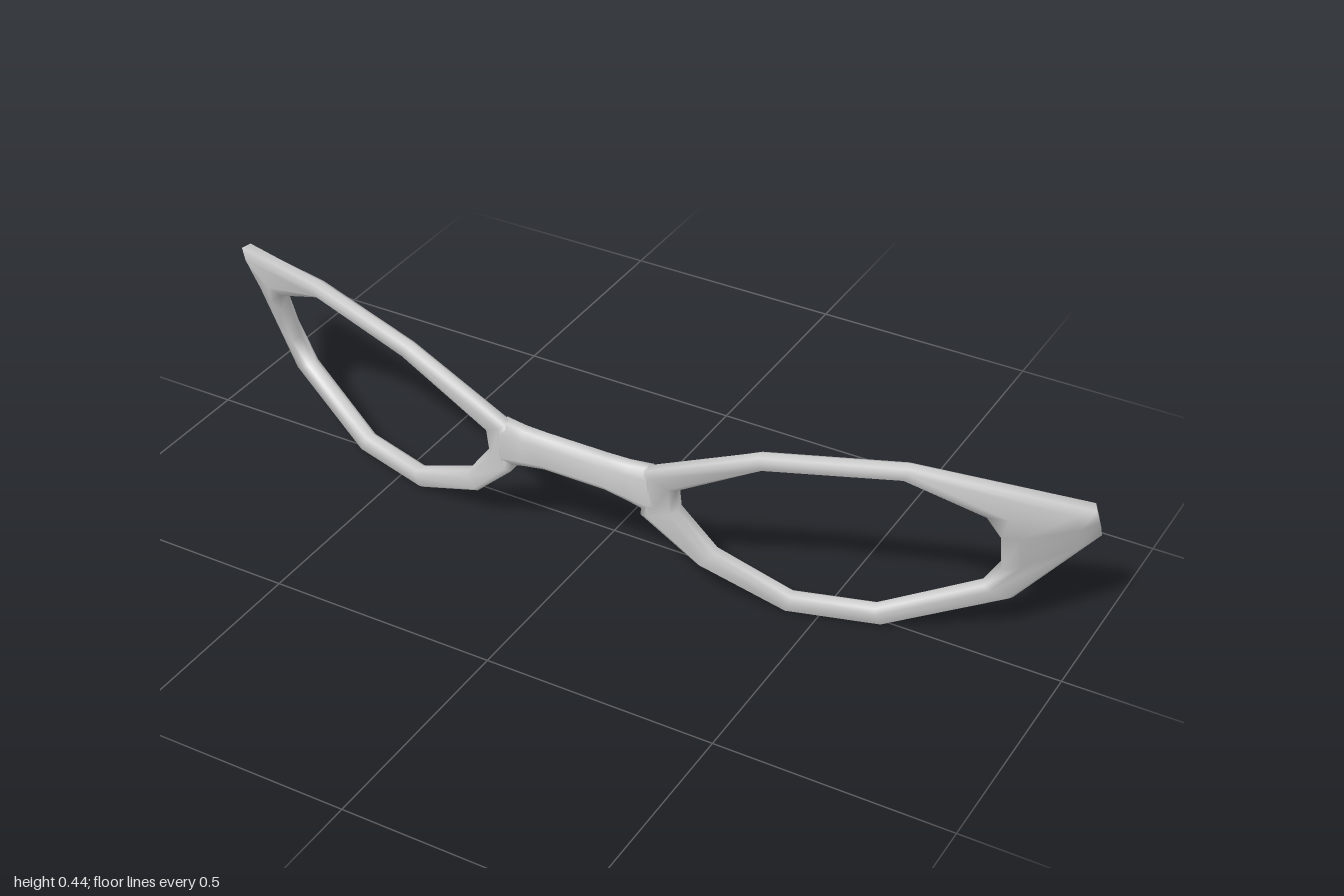
import * as THREE from 'three';

const material = new THREE.MeshStandardMaterial({ color: 0xcccccc });

// Bevelled cross-section: [across the rim, towards the front]
const PROFILE = [
  [1, -0.5], [1, 0.5], [0.6, 1], [-0.6, 1],
  [-1, 0.5], [-1, -0.5], [-0.6, -1], [0.6, -1],
];

// Section spanning from the outer to the inner point, with half thickness t
function section(outer, inner, t, mirror) {
  const a = new THREE.Vector3(...outer), b = new THREE.Vector3(...inner);
  const mid = a.clone().add(b).multiplyScalar(0.5);
  const half = a.clone().sub(b).multiplyScalar(0.5);
  const normal = new THREE.Vector3(0.55 * mid.x, -0.2, 1).normalize();
  return PROFILE.map(([u, n]) => {
    const p = mid.clone().addScaledVector(half, u).addScaledVector(normal, n * t);
    if (mirror) p.x = -p.x;
    return p;
  });
}

// Skin a row of sections, joining the last to the first when closed
function loft(name, sections, closed) {
  const n = PROFILE.length, count = sections.length, index = [];
  for (let i = 0; i < (closed ? count : count - 1); i++) {
    for (let j = 0; j < n; j++) {
      const k = (i + 1) % count, m = (j + 1) % n;
      const a = i * n + j, b = i * n + m, c = k * n + m, d = k * n + j;
      index.push(a, b, c, a, c, d);
    }
  }
  const geometry = new THREE.BufferGeometry().setFromPoints(sections.flat());
  geometry.setIndex(index);
  geometry.computeVertexNormals();
  const mesh = new THREE.Mesh(geometry, material);
  mesh.name = name;
  return mesh;
}

// Rim stations, clockwise from the nose: outer point, inner point, half thickness
const RIM = [
  [[0.15, 0.20, 0.15], [0.22, 0.215, 0.122], 0.018],
  [[0.16, 0.31, 0.155], [0.22, 0.27, 0.132], 0.018],
  [[0.40, 0.415, 0.142], [0.41, 0.387, 0.135], 0.017],
  [[0.68, 0.441, 0.068], [0.665, 0.41, 0.063], 0.017],
  [[0.994, 0.352, -0.105], [0.815, 0.338, 0.0], 0.022],
  [[0.994, 0.31, -0.13], [0.838, 0.28, -0.028], 0.023],
  [[0.994, 0.265, -0.155], [0.835, 0.19, -0.053], 0.023],
  [[0.85, 0.10, -0.092], [0.80, 0.132, -0.057], 0.02],
  [[0.62, 0.008, 0.004], [0.605, 0.047, 0.014], 0.018],
  [[0.43, 0.006, 0.057], [0.445, 0.047, 0.062], 0.018],
  [[0.26, 0.088, 0.108], [0.29, 0.122, 0.098], 0.018],
];

// Bridge stations: x, top, bottom, z, half thickness
const BRIDGE = [
  [0.20, 0.275, 0.235, 0.138, 0.004],
  [0.17, 0.313, 0.21, 0.148, 0.018],
  [0.12, 0.309, 0.225, 0.152, 0.019],
  [0.07, 0.309, 0.235, 0.154, 0.019],
];

export function createModel() {
  const group = new THREE.Group();
  group.name = 'glassesFrame';

  const left = RIM.map(([o, i, t]) => section(o, i, t, false));
  const right = RIM.map(([o, i, t]) => section(o, i, t, true)).reverse();
  group.add(loft('leftRim', left, true), loft('rightRim', right, true));

  const bridgeHalf = (mirror) => BRIDGE.map(([x, top, bottom, z, t]) =>
    section([x, top, z], [x, bottom, z], t, mirror));
  group.add(loft('bridge', [...bridgeHalf(true), ...bridgeHalf(false).reverse()], false));
  return group;
}
